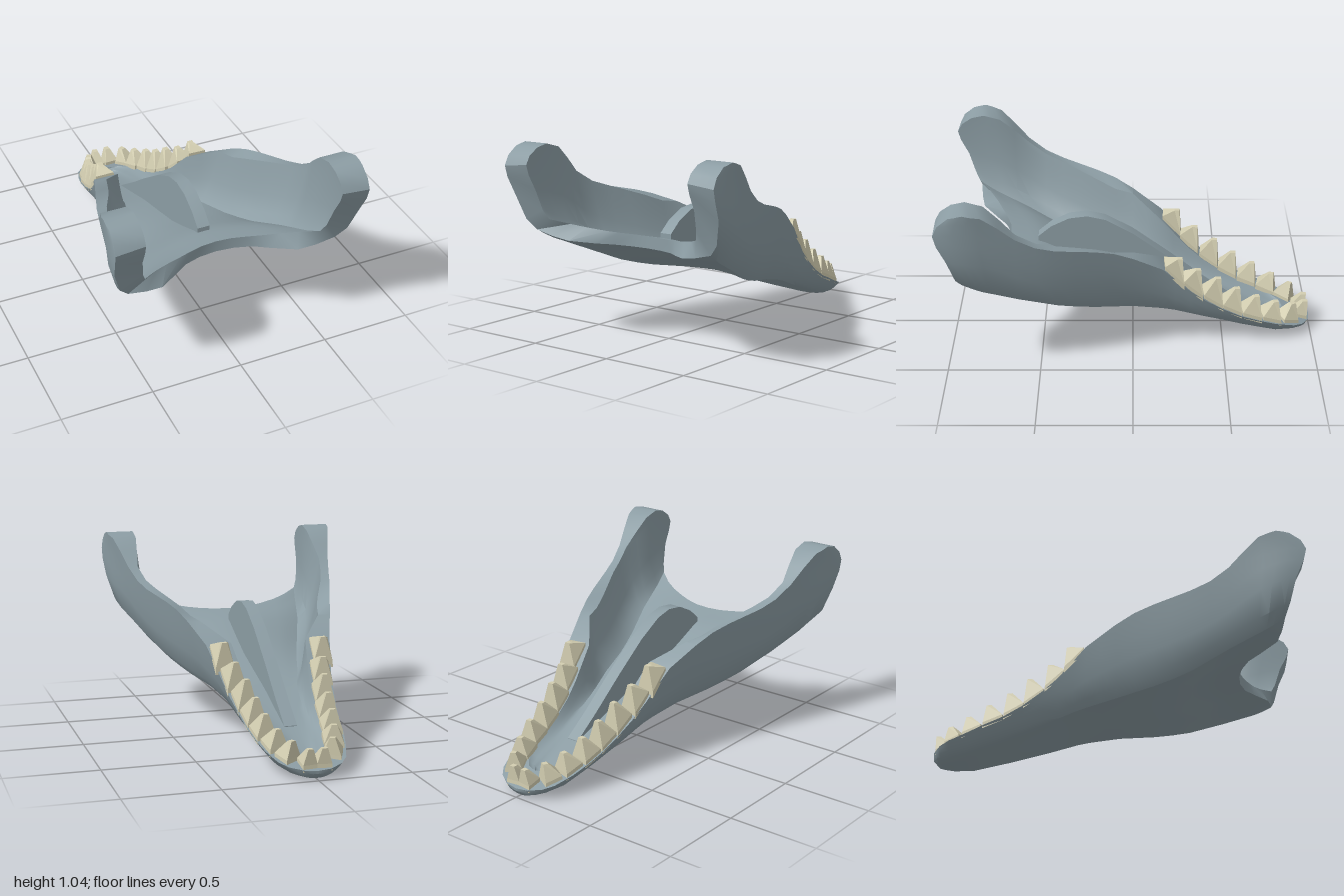
import * as THREE from 'three';
import { toCreasedNormals } from 'three/addons/utils/BufferGeometryUtils.js';

// Piecewise-linear guide curve through [z, value] pairs
const guide = (pts) => (z) => {
  if (z <= pts[0][0]) return pts[0][1];
  for (let i = 1; i < pts.length; i++) {
    const [z0, a] = pts[i - 1], [z1, b] = pts[i];
    if (z <= z1) return a + (b - a) * (z - z0) / (z1 - z0);
  }
  return pts[pts.length - 1][1];
};
const clamp01 = (t) => Math.min(1, Math.max(0, t));
const lerp = THREE.MathUtils.lerp;

// Heights of the rim, the lower side edge and the underside's centre line
const rimY = guide([[-1, 0.055], [-0.8, 0.115], [-0.6, 0.19], [-0.45, 0.27], [-0.31, 0.385], [-0.16, 0.545],
  [0, 0.645], [0.1, 0.695], [0.2, 0.725], [0.4, 0.77], [0.5, 0.805], [0.6, 0.87], [0.7, 0.97], [0.76, 1.02], [0.85, 1.045], [0.92, 1.03]]);
const lowerY = guide([[-1, 0.04], [-0.97, 0.02], [-0.92, 0.014], [-0.8, 0.032], [-0.6, 0.092], [-0.4, 0.158],
  [-0.2, 0.23], [0, 0.275], [0.25, 0.32], [0.4, 0.365], [0.6, 0.452], [0.8, 0.537], [0.885, 0.587]]);
const centreY = guide([[-1, 0.04], [-0.97, 0.01], [-0.92, 0], [-0.8, 0.018], [-0.6, 0.083], [-0.4, 0.155],
  [-0.2, 0.228], [0, 0.285], [0.2, 0.345], [0.35, 0.41], [0.5, 0.48], [0.67, 0.52]]);
// How far the inner rim dips below the outer rim
const rimDip = guide([[0, 0], [0.1, 0.035], [0.2, 0.025], [0.3, 0.012], [0.4, 0]]);
// Half widths of the outer rim, inner rim, lower edge and floor edge
const outerX = guide([[-1, 0], [-0.99, 0.07], [-0.95, 0.14], [-0.9, 0.18], [-0.8, 0.215], [-0.7, 0.24], [-0.5, 0.27],
  [-0.3, 0.31], [-0.15, 0.355], [0, 0.41], [0.2, 0.48], [0.4, 0.55], [0.6, 0.61], [0.8, 0.68], [0.88, 0.688], [0.92, 0.684]]);
const innerX = guide([[-0.85, 0], [-0.84, 0.05], [-0.81, 0.085], [-0.74, 0.125], [-0.6, 0.145], [-0.4, 0.165], [-0.16, 0.21],
  [0, 0.34], [0.1, 0.37], [0.2, 0.405], [0.3, 0.45], [0.4, 0.495], [0.5, 0.53], [0.6, 0.555], [0.75, 0.53]]);
const lowerX = guide([[-1, 0], [-0.97, 0.06], [-0.8, 0.13], [-0.4, 0.2], [-0.2, 0.235], [0, 0.28], [0.35, 0.4], [0.6, 0.5], [0.8, 0.56], [0.885, 0.58]]);
const floorX = guide([[-0.85, 0], [-0.8, 0.05], [-0.5, 0.1], [-0.2, 0.15], [0, 0.22], [0.2, 0.28], [0.4, 0.35], [0.6, 0.42], [0.885, 0.49]]);

const THICK = 0.065;
// Floor points: fraction of width, rearward sweep outside, rearward sweep inside
const FLOOR = [[0, 0, 0], [0.17, 0.05, 0.04], [0.33, 0.2, 0.15], [0.46, 0.46, 0.27], [0.66, 0.86, 0.47], [0.82, 0.95, 0.68]];
// Wall points: fraction of height, rearward bulge at the hinge
const WALL = [[0, 0], [0.13, 0.02], [0.42, 0.045], [0.64, 0.08], [0.78, 0.09], [0.9, 0.06], [1, 0]];

// Half of one cross-section, from the centre line out and up to the rim
function halfSection(s, inside) {
  const zs = inside && s < -0.7 ? -0.7 + (s + 0.7) * 0.5 : s;
  const zLow = zs < 0.6 ? zs : 0.6 + (zs - 0.6) * 0.89;
  const zMid = zLow - 0.215 * clamp01((s - 0.2) / 0.72);
  const lift = inside ? THICK : 0;
  const xLow = (inside ? floorX : lowerX)(zLow), yLow = lowerY(zLow) + lift;
  const xTop = (inside ? innerX : outerX)(zs), yTop = rimY(zs) - (inside ? rimDip(zs) : 0);
  const yMid = centreY(zMid) + lift;
  const pts = FLOOR.map(([u, out, inn]) =>
    [xLow * u, lerp(yMid, yLow, u ** 2.5), lerp(zMid, zLow, inside ? inn : out)]);
  const bulge = clamp01((s - 0.7) / 0.22), e = lerp(0.6, 0.4, clamp01(s / 0.9));
  for (const [v, b] of WALL) {
    const p = v ** e + 0.2 * bulge * Math.sin(Math.PI * v);
    pts.push([lerp(xLow, xTop, p), lerp(yLow, yTop, v), lerp(zLow, zs, v) + b * bulge]);
  }
  return pts;
}

// Jaw body: closed U-shaped rings joined along the length
function jawGeometry() {
  const stations = [-1, -0.99, -0.97, -0.95, -0.9, -0.8, -0.7, -0.6, -0.5, -0.4, -0.31, -0.23, -0.16, -0.08,
    0, 0.1, 0.2, 0.3, 0.4, 0.5, 0.6, 0.68, 0.76, 0.81, 0.85, 0.89, 0.92];
  const half = FLOOR.length + WALL.length, ring = 4 * half - 2;
  const pos = [], idx = [];
  for (const s of stations) {
    const right = [...halfSection(s, false), ...halfSection(s, true).reverse()];
    const left = right.slice(1, -1).reverse().map(([x, y, z]) => [-x, y, z]);
    pos.push(...[...right, ...left].flat());
  }
  for (let j = 0; j < stations.length - 1; j++) {
    for (let i = 0; i < ring; i++) {
      const a = j * ring + i, b = j * ring + (i + 1) % ring;
      idx.push(a, b, b + ring, a, b + ring, a + ring);
    }
  }
  // rear edge, closing outer to inner surface on both sides
  const base = (stations.length - 1) * ring;
  const quad = (a, b, c, d) => idx.push(base + a, base + b, base + c, base + a, base + c, base + d);
  const mirror = (k) => (ring - k) % ring;
  for (let i = 0; i < half - 1; i++) {
    quad(i, i + 1, 2 * half - 2 - i, 2 * half - 1 - i);
    quad(mirror(i + 1), mirror(i), 2 * half - 1 + i, 2 * half + i);
  }
  const g = new THREE.BufferGeometry();
  g.setAttribute('position', new THREE.Float32BufferAttribute(pos, 3));
  g.setIndex(idx);
  return toCreasedNormals(g, 0.65);
}

// Upright keel along the middle of the floor, sloping down at both ends
function keelGeometry() {
  const shape = new THREE.Shape();
  const top = [[-0.55, 0.17], [-0.4, 0.28], [-0.2, 0.44], [0, 0.59], [0.15, 0.675], [0.25, 0.698],
    [0.35, 0.685], [0.45, 0.635], [0.52, 0.575]];
  shape.moveTo(-0.55, centreY(-0.55) + 0.03);
  top.forEach(([z, y]) => shape.lineTo(z, y));
  for (const z of [0.52, 0.3, 0, -0.3]) shape.lineTo(z, centreY(z) + 0.03);
  const g = new THREE.ExtrudeGeometry(shape, { depth: 0.07, bevelEnabled: false });
  g.rotateY(-Math.PI / 2).translate(0.035, 0, 0);
  return toCreasedNormals(g, 0.6);
}

// Four-sided stubby tooth, its foot following the rim and its tip leaning forward
function toothGeometry(x, z, width, height, yaw) {
  const r = width * 0.707;
  const profile = [[r, 0], [r * 0.97, 0.4], [0.02, 1], [0, 1]].map(([a, b]) => new THREE.Vector2(a, b));
  const g = new THREE.LatheGeometry(profile, 4, Math.PI / 4).toNonIndexed();
  const p = g.attributes.position;
  for (let i = 0; i < p.count; i++) if (p.getY(i) > 0.9) p.setZ(i, p.getZ(i) - 0.03);
  g.rotateY(yaw).translate(x, 0, z);
  for (let i = 0; i < p.count; i++) {
    const level = p.getY(i), foot = rimY(p.getZ(i));
    p.setY(i, level > 0.9 ? rimY(z) + height : level > 0.1 ? foot + 0.02 : foot - 0.015);
  }
  g.computeVertexNormals();
  return g;
}

export function createModel() {
  const bone = new THREE.MeshStandardMaterial({ color: 0x8c9da4 });
  bone.name = 'greyBone';
  const ivory = new THREE.MeshStandardMaterial({ color: 0xd2cdb0 });
  ivory.name = 'ivory';

  const model = new THREE.Group();
  model.name = 'lowerJaw';
  const add = (name, geometry, material, parent = model) => {
    const mesh = new THREE.Mesh(geometry, material);
    mesh.name = name;
    parent.add(mesh);
  };
  add('jawBody', jawGeometry(), bone);
  add('keel', keelGeometry(), bone);

  // Teeth: x, z, width, height, yaw
  const row = [[0.28, -0.222, 0.106, 0.095, -0.05], [0.247, -0.324, 0.106, 0.112, -0.1], [0.22, -0.436, 0.108, 0.135, -0.1],
    [0.202, -0.543, 0.108, 0.122, -0.1], [0.186, -0.654, 0.108, 0.112, -0.12], [0.158, -0.764, 0.106, 0.1, -0.2],
    [0.122, -0.866, 0.094, 0.095, -0.45], [0.041, -0.94, 0.08, 0.09, -0.08]];
  for (const side of [1, -1]) {
    const teeth = new THREE.Group();
    teeth.name = side > 0 ? 'leftTeeth' : 'rightTeeth';
    row.forEach(([x, z, w, h, yaw], i) =>
      add('tooth' + (i + 1), toothGeometry(side * x, z, w, h, side * -yaw), ivory, teeth));
    model.add(teeth);
  }
  return model;
}
